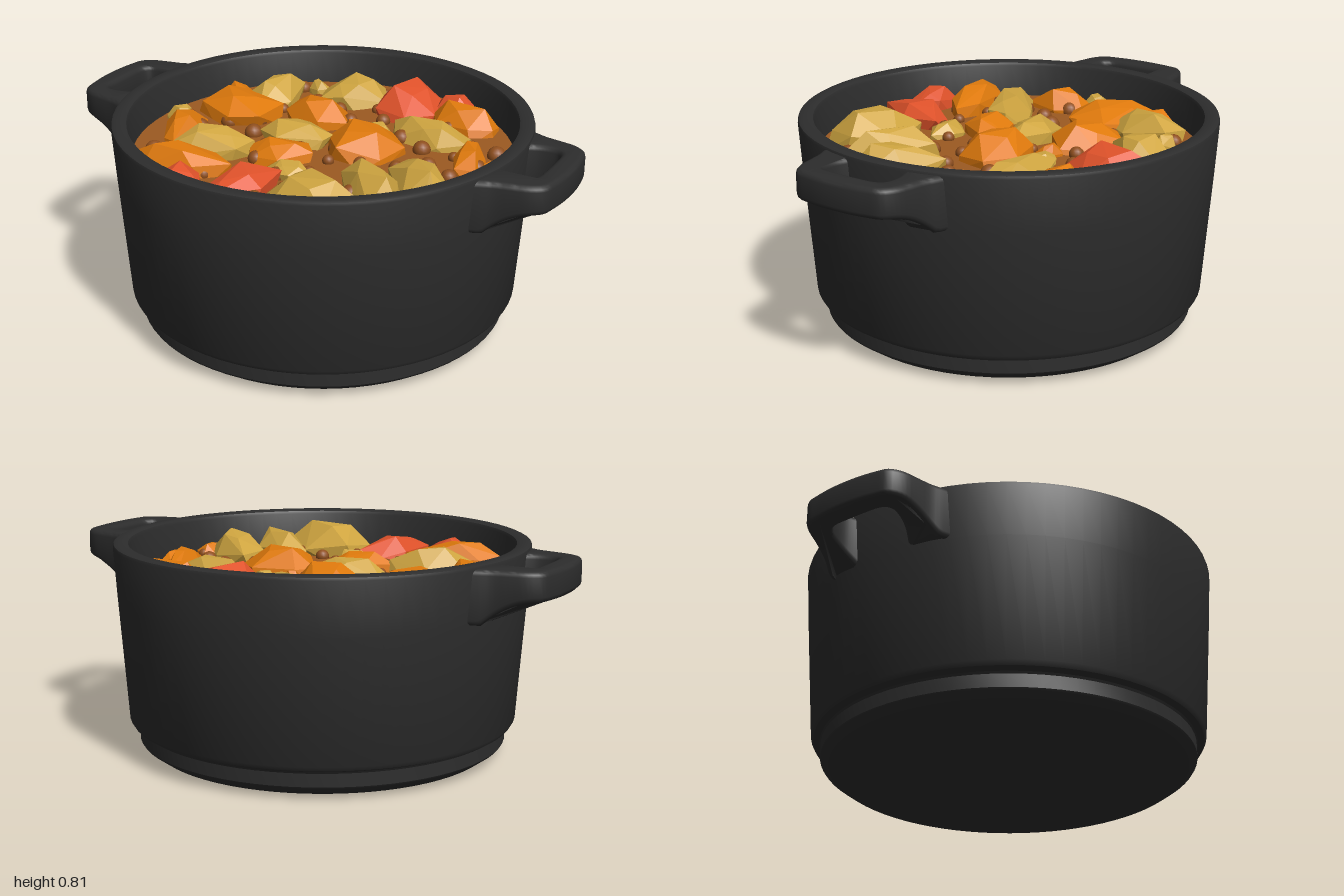
import * as THREE from 'three';
import { toCreasedNormals } from 'three/addons/utils/BufferGeometryUtils.js';
import { ConvexGeometry } from 'three/addons/geometries/ConvexGeometry.js';

const material = (name, color) => {
  const m = new THREE.MeshStandardMaterial({ color });
  m.name = name;
  return m;
};
const V2 = (p) => new THREE.Vector2(p[0], p[1]);

const SOUP_Y = 0.67;
const SOUP_R = 0.725;

// Small seeded generator for the cut faces of the vegetables
function seeded(seed) {
  let s = seed * 7919 + 17;
  return () => {
    s = (s * 16807) % 2147483647;
    return s / 2147483647;
  };
}

// Rough-cut vegetable: hull of a wide ring at the sauce line and a small tilted top
function chunkGeometry([x, z, a, b, turn, h], seed) {
  const rand = seeded(seed);
  for (let i = 0; i < 5; i++) rand();
  const points = [];
  const ring = (n, scale, y, rise) => {
    const start = rand() * 6.28;
    for (let i = 0; i < n; i++) {
      const t = start + ((i + (rand() - 0.5) * 0.5) / n) * Math.PI * 2;
      const r = scale * (0.92 + rand() * 0.2);
      const u = Math.cos(t) * a * r;
      const v = Math.sin(t) * b * r;
      let px = x + u * Math.cos(turn) - v * Math.sin(turn);
      let pz = z + u * Math.sin(turn) + v * Math.cos(turn);
      const k = Math.min(1, 0.71 / Math.hypot(px, pz));
      points.push(new THREE.Vector3(px * k, y + rise * rand(), pz * k));
    }
  };
  ring(7, 1.02, SOUP_Y - 0.03, 0);
  ring(6, 1.04, SOUP_Y + h * 0.1, h * 0.4);
  ring(4, 0.5, SOUP_Y + h * 0.7, h * 0.3);
  return new ConvexGeometry(points);
}

// Side handle: a flat loop whose underside flares down where it meets the wall
function handleGeometry() {
  const half = [[0.70, 0.285], [0.765, 0.262], [0.81, 0.245], [0.87, 0.233], [0.93, 0.218], [0.975, 0.185], [0.99, 0.13], [1, 0.05]];
  const inner = [[0.915, 0.04], [0.912, 0.105], [0.895, 0.135], [0.865, 0.142], [0.825, 0.138], [0.79, 0.125], [0.76, 0.11]];
  const mirror = (list) => list.map(([x, z]) => [x, -z]);
  const shape = new THREE.Shape();
  shape.moveTo(...mirror(half)[0]);
  shape.splineThru([...mirror(half).slice(1), ...half.slice().reverse()].map(V2));
  shape.lineTo(0.76, 0.11);
  shape.splineThru([...inner.slice(0, -1).reverse(), ...mirror(inner)].map(V2));
  shape.closePath();
  const bevel = 0.02;
  const geo = new THREE.ExtrudeGeometry(shape, {
    depth: 0.07, bevelSize: bevel, bevelThickness: bevel, bevelOffset: -bevel, bevelSegments: 3, curveSegments: 3,
  });
  geo.rotateX(Math.PI / 2);
  geo.translate(0, 0.8 - bevel, 0);
  const pos = geo.attributes.position;
  for (let i = 0; i < pos.count; i++) {
    if (pos.getY(i) > 0.75) continue;
    const t = THREE.MathUtils.clamp((0.96 - pos.getX(i)) / 0.19, 0, 1);
    pos.setY(i, pos.getY(i) - 0.09 * t * t);
  }
  geo.deleteAttribute('normal');
  return toCreasedNormals(geo, 0.7);
}

export function createModel() {
  const model = new THREE.Group();
  model.name = 'stewPot';
  const iron = material('black iron', 0x2d2d2d);
  const sauce = material('brown sauce', 0x9c5a22);
  const bean = material('brown bean', 0x8f4f1e);
  const potato = material('yellow potato', 0xcfa540);
  const carrot = material('orange carrot', 0xe07a0c);
  const tomato = material('red tomato', 0xe0522a);

  const add = (parent, name, geometry, mat) => {
    const mesh = new THREE.Mesh(geometry, mat);
    mesh.name = name;
    parent.add(mesh);
    return mesh;
  };

  // Pot wall: stepped foot, tapered side, rounded rim and hollow inside
  const profile = [
    [0, 0], [0.63, 0], [0.66, 0.01], [0.705, 0.042], [0.71, 0.05], [0.71, 0.1], [0.715, 0.108], [0.738, 0.118],
    [0.748, 0.135], [0.782, 0.6], [0.795, 0.798], [0.792, 0.808], [0.782, 0.813], [0.75, 0.813], [0.738, 0.808],
    [0.733, 0.797], [0.722, 0.6], [0.68, 0.15], [0.62, 0.09], [0, 0.09],
  ];
  add(model, 'pot', toCreasedNormals(new THREE.LatheGeometry(profile.map(V2), 72), 0.5), iron);

  // Pair of handles
  const handle = handleGeometry();
  add(model, 'leftHandle', handle, iron);
  add(model, 'rightHandle', handle, iron).rotation.y = Math.PI;

  // Sauce surface
  const surface = new THREE.CircleGeometry(SOUP_R, 64);
  surface.rotateX(-Math.PI / 2);
  surface.translate(0, SOUP_Y, 0);
  add(model, 'sauce', surface, sauce);

  // Vegetable pieces: x, z, half length, half width, turn, height
  const pieces = {
    potato: [potato, [
      [-0.13, -0.50, 0.15, 0.11, -0.5, 0.11], [-0.42, -0.36, 0.15, 0.085, 1.5, 0.11],
      [0.32, -0.26, 0.17, 0.085, 0.05, 0.09], [-0.14, -0.02, 0.14, 0.095, 0, 0.09],
      [-0.35, 0.24, 0.17, 0.09, -0.5, 0.11], [0.49, 0.16, 0.17, 0.1, 0.7, 0.11],
      [0.36, 0.29, 0.19, 0.09, 0.75, 0.11], [0.23, 0.48, 0.18, 0.14, 0.2, 0.13],
      [0.02, 0.28, 0.09, 0.06, 0, 0.06], [-0.64, 0.01, 0.06, 0.05, 0, 0.06],
      [0.12, -0.23, 0.06, 0.05, 0.5, 0.05], [-0.31, -0.51, 0.05, 0.035, 0.4, 0.06],
    ]],
    carrot: [carrot, [
      [-0.48, -0.17, 0.17, 0.14, 0.3, 0.1], [-0.16, -0.25, 0.14, 0.12, 0.8, 0.1],
      [0.15, -0.05, 0.15, 0.13, 0, 0.11], [0.38, -0.46, 0.15, 0.09, 0.2, 0.1],
      [0.55, -0.13, 0.14, 0.06, 1.3, 0.08], [-0.55, 0.12, 0.13, 0.08, 1.3, 0.09],
      [-0.37, 0.43, 0.18, 0.08, -0.2, 0.1], [-0.09, 0.16, 0.12, 0.09, -0.5, 0.08],
      [0.66, -0.06, 0.08, 0.04, 1.3, 0.05], [-0.57, -0.31, 0.08, 0.06, 0.4, 0.06],
      [0.02, -0.2, 0.05, 0.03, 0.8, 0.05], [0.62, 0.16, 0.07, 0.05, 1, 0.05],
    ]],
    tomato: [tomato, [
      [0.11, -0.52, 0.16, 0.13, 1.4, 0.12], [0.28, -0.58, 0.09, 0.06, 0, 0.08],
      [-0.06, 0.49, 0.17, 0.085, 1.75, 0.1], [-0.27, 0.57, 0.1, 0.07, 0.2, 0.09],
    ]],
  };
  let seed = 3;
  for (const [name, [mat, list]] of Object.entries(pieces)) {
    const group = new THREE.Group();
    group.name = `${name}Pieces`;
    for (const spec of list) add(group, name, chunkGeometry(spec, seed++), mat);
    model.add(group);
  }

  // Beans scattered in a spiral over the sauce
  const beans = new THREE.Group();
  beans.name = 'beans';
  const ball = new THREE.SphereGeometry(1, 14, 10);
  const rand = seeded(5);
  for (let i = 0; i < 85; i++) {
    const r = 0.67 * Math.sqrt((i + 0.5) / 85);
    const t = i * 2.39996;
    const m = add(beans, 'bean', ball, bean);
    m.position.set(Math.cos(t) * r, SOUP_Y + 0.008, Math.sin(t) * r);
    m.scale.setScalar(0.022 + rand() * 0.014);
  }
  model.add(beans);
  return model;
}
